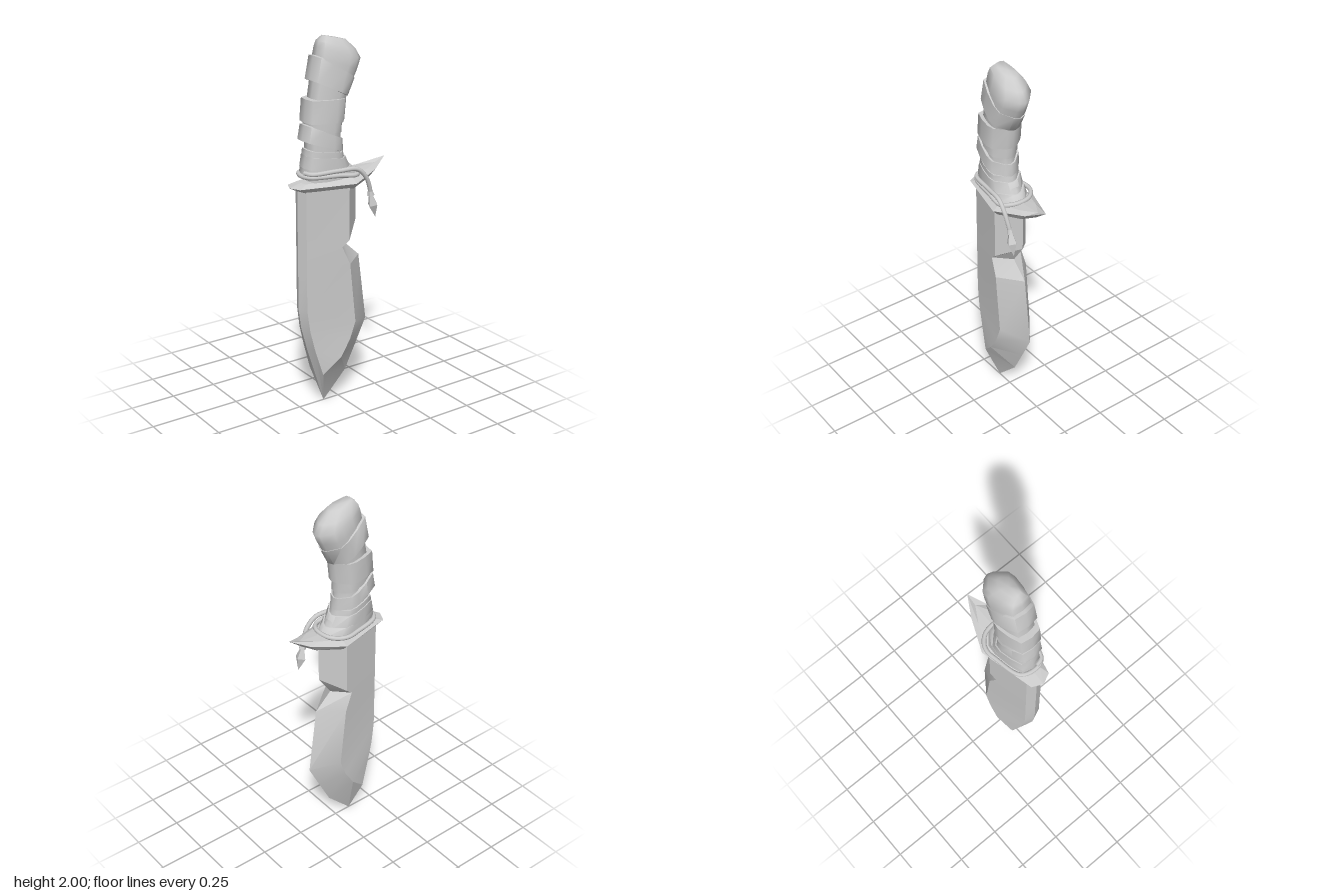
import * as THREE from 'three';
import { toCreasedNormals } from 'three/addons/utils/BufferGeometryUtils.js';

const V = (x, y, z) => new THREE.Vector3(x, y, z);
const flat = new THREE.MeshStandardMaterial({ color: 0xcccccc, flatShading: true });
const smooth = new THREE.MeshStandardMaterial({ color: 0xcccccc });

// Skin over rings stacked upward; each ring runs counterclockwise seen from above
function loft(rings, capBottom = true, capTop = true) {
  const n = rings[0].length, pos = [], idx = [];
  const add = (p) => pos.push(p.x, p.y, p.z) / 3 - 1;
  rings.forEach((r) => r.forEach(add));
  for (let k = 0; k < rings.length - 1; k++) {
    for (let i = 0; i < n; i++) {
      const j = (i + 1) % n, a = k * n, b = a + n;
      idx.push(a + i, a + j, b + j, a + i, b + j, b + i);
    }
  }
  const cap = (k, up) => {
    const c = add(rings[k].reduce((s, p) => s.add(p), V(0, 0, 0)).divideScalar(n));
    for (let i = 0; i < n; i++) {
      const p = k * n + i, q = k * n + (i + 1) % n;
      idx.push(c, up ? p : q, up ? q : p);
    }
  };
  if (capBottom) cap(0, false);
  if (capTop) cap(rings.length - 1, true);
  const g = new THREE.BufferGeometry();
  g.setAttribute('position', new THREE.Float32BufferAttribute(pos, 3));
  g.setIndex(idx);
  g.computeVertexNormals();
  return g;
}

// Grip cross-section between a spine-side point and an edge-side point, narrower at the spine
const HALF = [[0.96, 0.34], [0.76, 0.94], [0.58, 1], [0.3, 0.86], [0.04, 0.62]];
function gripRing([lx, ly, rx, ry, w]) {
  const at = (t, s) => V(lx + (rx - lx) * t, ly + (ry - ly) * t, s * w);
  return [
    at(1, 0),
    ...HALF.map(([t, s]) => at(t, -s)),
    at(0, 0),
    ...HALF.slice().reverse().map(([t, s]) => at(t, s)),
  ];
}

export function createModel() {
  const model = new THREE.Group();
  const add = (name, geo, mat, parent = model) => {
    const m = new THREE.Mesh(geo, mat);
    m.name = name;
    parent.add(m);
    return m;
  };

  // Blade stations, tip upward: spine xy, flat back xy, flat front xy, edge xy, half depth back and front
  const stations = [
    [-0.095, 0, -0.14, 0.185, -0.14, 0.185, -0.095, 0, 0.066, 0.066],
    [-0.2, 0.33, -0.183, 0.33, -0.045, 0.28, 0.047, 0.145, 0.057, 0.098],
    [-0.235, 0.46, -0.212, 0.45, 0.01, 0.37, 0.114, 0.28, 0.053, 0.1],
    [-0.25, 0.57, -0.228, 0.57, 0.045, 0.465, 0.182, 0.42, 0.05, 0.1],
    [-0.25, 0.8, -0.228, 0.8, 0.01, 0.8, 0.133, 0.8, 0.05, 0.1],
    [-0.25, 0.9, -0.228, 0.9, -0.035, 0.9, 0.037, 0.89, 0.05, 0.092],
    [-0.25, 0.97, -0.228, 0.97, 0.005, 0.935, 0.112, 1.0, 0.05, 0.1],
    [-0.25, 1.23, -0.228, 1.23, 0.005, 1.23, 0.112, 1.23, 0.05, 0.1],
  ];
  add('blade', toCreasedNormals(loft(stations.map(([sx, sy, bx, by, fx, fy, ex, ey, wb, wf]) => [
    V(sx, sy, 0), V(bx, by, wb), V(fx, fy, wf), V(ex, ey, 0), V(fx, fy, -wf), V(bx, by, -wb),
  ]), false, true), 0.35), smooth);

  // Guard with a raised prong: underside, rim and top as x, y, half depth
  const guard = [
    [[-0.24, 1.215, 0], [-0.225, 1.215, 0.045], [0.03, 1.212, 0.1], [0.16, 1.232, 0.045], [0.22, 1.257, 0]],
    [[-0.298, 1.245, 0], [-0.27, 1.245, 0.058], [0.03, 1.243, 0.128], [0.2, 1.275, 0.056], [0.298, 1.32, 0]],
    [[-0.23, 1.262, 0], [-0.22, 1.262, 0.04], [0.03, 1.268, 0.09], [0.15, 1.283, 0.05], [0.235, 1.293, 0]],
  ];
  add('guard', loft(guard.map((r) => [
    ...r.map(([x, y, z]) => V(x, y, z)),
    ...r.slice(1, 4).reverse().map(([x, y, z]) => V(x, y, -z)),
  ])), flat);

  // Grip core ending in a rounded pommel
  const grip = [
    [-0.19, 1.25, 0.09, 1.25, 0.08],
    [-0.19, 1.31, 0.06, 1.33, 0.077],
    [-0.185, 1.42, 0.01, 1.39, 0.075],
    [-0.18, 1.55, 0.005, 1.54, 0.075],
    [-0.165, 1.68, 0.03, 1.66, 0.08],
    [-0.145, 1.8, 0.07, 1.74, 0.083],
    [-0.13, 1.9, 0.107, 1.81, 0.087],
    [-0.122, 1.945, 0.13, 1.865, 0.082],
    [-0.115, 1.975, 0.102, 1.915, 0.066],
    [-0.088, 2.0, 0.045, 1.968, 0.036],
  ];
  add('grip', toCreasedNormals(loft(grip.map(gripRing)), 1.2), smooth);

  // Overlapping wraps: lower ring and upper ring of each tilted band
  const wraps = [
    [[-0.215, 1.295, 0.105, 1.275, 0.092], [-0.21, 1.335, 0.075, 1.315, 0.09]],
    [[-0.212, 1.335, 0.07, 1.3, 0.09], [-0.2, 1.4, 0.035, 1.37, 0.088]],
    [[-0.2, 1.4, 0.03, 1.36, 0.082], [-0.195, 1.43, 0.02, 1.4, 0.082]],
    [[-0.22, 1.48, 0.022, 1.4, 0.091], [-0.205, 1.56, 0.015, 1.465, 0.089]],
    [[-0.19, 1.54, 0.012, 1.5, 0.081], [-0.19, 1.59, 0.015, 1.58, 0.081]],
    [[-0.205, 1.572, 0.027, 1.567, 0.095], [-0.195, 1.69, 0.04, 1.687, 0.093]],
    [[-0.17, 1.785, 0.047, 1.68, 0.095], [-0.147, 1.905, 0.09, 1.765, 0.093]],
  ];
  const inset = ([lx, ly, rx, ry, w]) => [lx + 0.04, ly, rx - 0.04, ry, w - 0.03];
  const wrapGroup = new THREE.Group();
  wrapGroup.name = 'gripWraps';
  model.add(wrapGroup);
  wraps.forEach(([lo, hi]) => {
    const rings = [inset(lo), lo, hi, inset(hi)].map(gripRing);
    add('wrap', toCreasedNormals(loft(rings, false, false), 1.15), smooth, wrapGroup);
  });

  // Cord looped round the grip foot, with a loose end hanging over the guard
  const tube = (pts, closed) => new THREE.TubeGeometry(
    new THREE.CatmullRomCurve3(pts.map((p) => V(...p)), closed, 'centripetal'), 48, 0.012, 8, closed);
  add('cordLoop', tube([
    [-0.222, 1.295, 0], [-0.205, 1.298, 0.062], [-0.05, 1.292, 0.092], [0.05, 1.28, 0.095], [0.095, 1.285, 0.04],
    [0.09, 1.285, -0.05], [0.045, 1.285, -0.1], [0, 1.285, -0.113], [-0.05, 1.287, -0.106], [-0.195, 1.295, -0.07],
  ], true), smooth);
  add('cordEnd', tube([
    [-0.218, 1.315, 0.02], [-0.2, 1.315, 0.065], [-0.06, 1.318, 0.092], [0.05, 1.312, 0.104],
    [0.1, 1.265, 0.108], [0.125, 1.21, 0.105], [0.137, 1.165, 0.1],
  ], false), smooth);

  // Bead and faceted pendant on the cord end
  const charm = new THREE.Group();
  charm.name = 'pendant';
  charm.position.set(0.135, 1.175, 0.1);
  charm.rotation.z = 0.23;
  model.add(charm);
  const bead = add('bead', new THREE.CylinderGeometry(0.014, 0.019, 0.025, 8), flat, charm);
  bead.position.y = -0.008;
  const profile = [[0, -0.148], [0.03, -0.075], [0.012, -0.018], [0, -0.015]];
  const tip = add('pendantTip', new THREE.LatheGeometry(profile.map(([x, y]) => new THREE.Vector2(x, y)), 4), flat, charm);
  tip.rotation.y = 0.3;

  return model;
}
